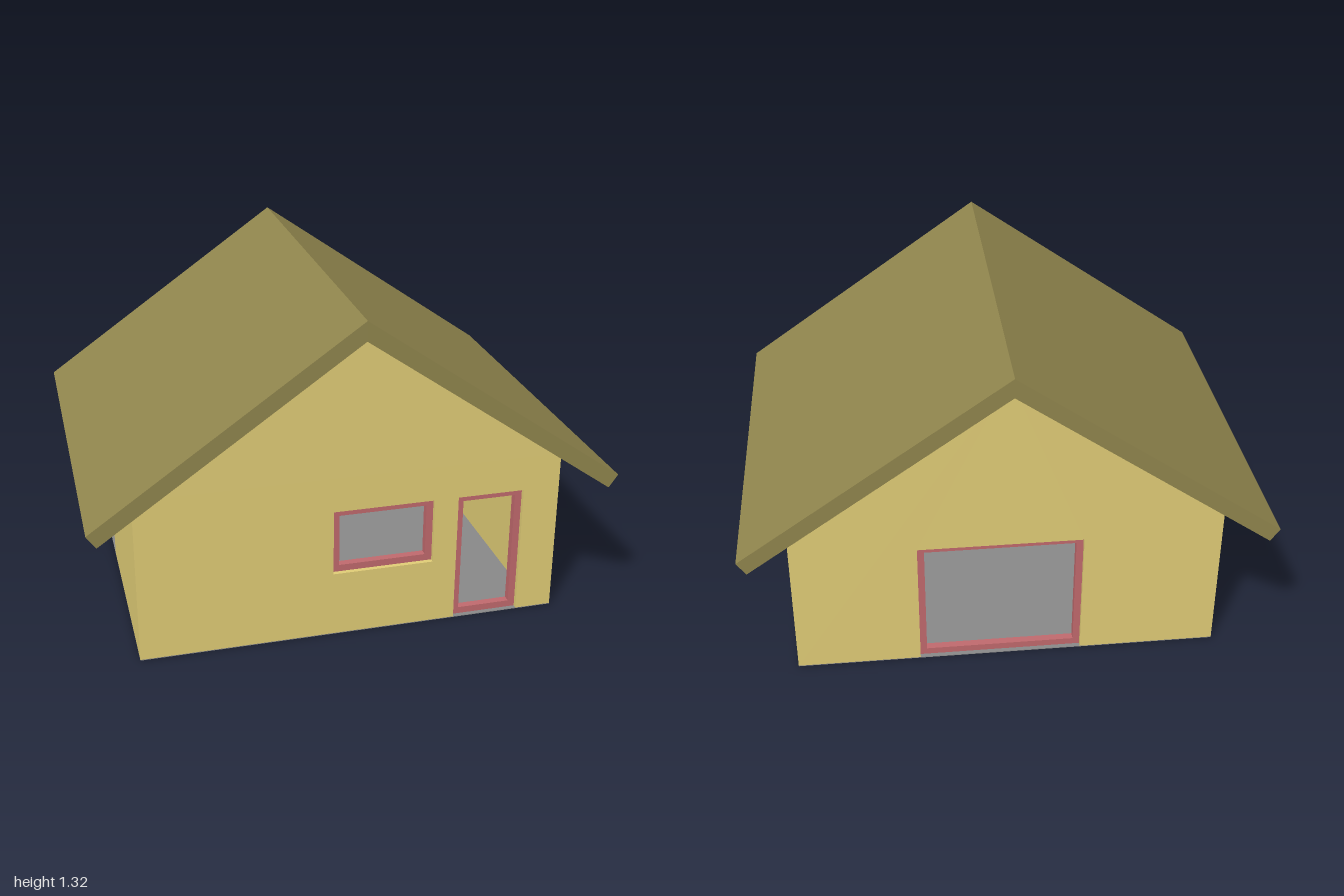
import * as THREE from 'three';

const HALF_X = 0.825, HALF_Z = 0.66, WALL = 0.066, FLOOR = 0.003;
const EAVE_Y = 0.67, PEAK_Y = 1.25, DOOR_TOP = 0.53;

const material = (color) => new THREE.MeshStandardMaterial({ color });
const wallMat = material(0xe0cc76);
const roofMat = material(0x90854d);
const frameMat = material(0xc0696d);
const floorMat = material(0x888888);

function extrude(name, shape, depth, mat) {
  const geometry = new THREE.ExtrudeGeometry(shape, { depth, bevelEnabled: false });
  const mesh = new THREE.Mesh(geometry, mat);
  mesh.name = name;
  return mesh;
}

const polygon = (points) => new THREE.Shape(points.map(([x, y]) => new THREE.Vector2(x, y)));
const rectangle = (x0, x1, y0, y1) => [[x0, y0], [x1, y0], [x1, y1], [x0, y1]];

// Frame set into the middle of the wall thickness
function frame(name, { x0, x1, y0, y1 }) {
  const w = 0.027, depth = 0.03;
  const shape = polygon(rectangle(x0, x1, y0, y1));
  shape.holes.push(polygon(rectangle(x0 + w, x1 - w, y0 + w, y1 - w)));
  const mesh = extrude(name, shape, depth, frameMat);
  mesh.position.z = (WALL - depth) / 2;
  return mesh;
}

// Wall panel whose outer face is local +z; doors notch its foot, windows are holes
function wall(name, halfWidth, topPoints, doors, windows = []) {
  const foot = [[-halfWidth, FLOOR]];
  for (const d of doors) {
    foot.push([d.x0, FLOOR], [d.x0, d.y1], [d.x1, d.y1], [d.x1, FLOOR]);
  }
  foot.push([halfWidth, FLOOR]);
  const shape = polygon([...foot, ...topPoints]);
  for (const w of windows) shape.holes.push(polygon(rectangle(w.x0, w.x1, w.y0, w.y1)));

  const group = new THREE.Group();
  group.name = name;
  group.add(extrude(name + 'Panel', shape, WALL, wallMat));
  for (const d of doors) group.add(frame('doorFrame', d));
  for (const w of windows) group.add(frame('windowFrame', w));
  return group;
}

const door = (x0, x1) => ({ x0, x1, y0: FLOOR, y1: DOOR_TOP });

export function createModel() {
  const house = new THREE.Group();
  house.name = 'house';

  // Floor slab under the whole house
  const floor = new THREE.Mesh(new THREE.BoxGeometry(2 * HALF_X, FLOOR, 2 * HALF_Z), floorMat);
  floor.name = 'floor';
  floor.position.y = FLOOR / 2;
  house.add(floor);

  // Gable walls, front and back
  const gable = [[HALF_X, EAVE_Y], [0, PEAK_Y], [-HALF_X, EAVE_Y]];
  const front = wall('frontWall', HALF_X, gable, [door(0.415, 0.68)],
    [{ x0: -0.077, x1: 0.32, y0: 0.265, y1: DOOR_TOP }]);
  front.position.z = HALF_Z - WALL;

  const back = wall('backWall', HALF_X, gable, [door(-0.346, 0.29)]);
  back.rotation.y = Math.PI;
  back.position.z = WALL - HALF_Z;

  // Side walls fit between the gables and run up into the roof
  const sideHalf = HALF_Z - WALL, sideTop = 0.714;
  const top = [[sideHalf, sideTop], [-sideHalf, sideTop]];
  const left = wall('leftWall', sideHalf, top, [door(0.36, 0.573)]);
  left.rotation.y = Math.PI / 2;
  left.position.x = HALF_X - WALL;

  const right = wall('rightWall', sideHalf, top, [door(-0.386, -0.173)]);
  right.rotation.y = -Math.PI / 2;
  right.position.x = WALL - HALF_X;
  house.add(front, back, left, right);

  // Pitched roof with square-cut eaves
  const roofHalf = 0.795;
  const roofShape = polygon([
    [0, 1.322], [-1, 0.622], [-0.965, 0.572], [0, 1.247], [0.965, 0.572], [1, 0.622],
  ]);
  const roof = extrude('roof', roofShape, 2 * roofHalf, roofMat);
  roof.position.z = -roofHalf;
  house.add(roof);

  return house;
}
